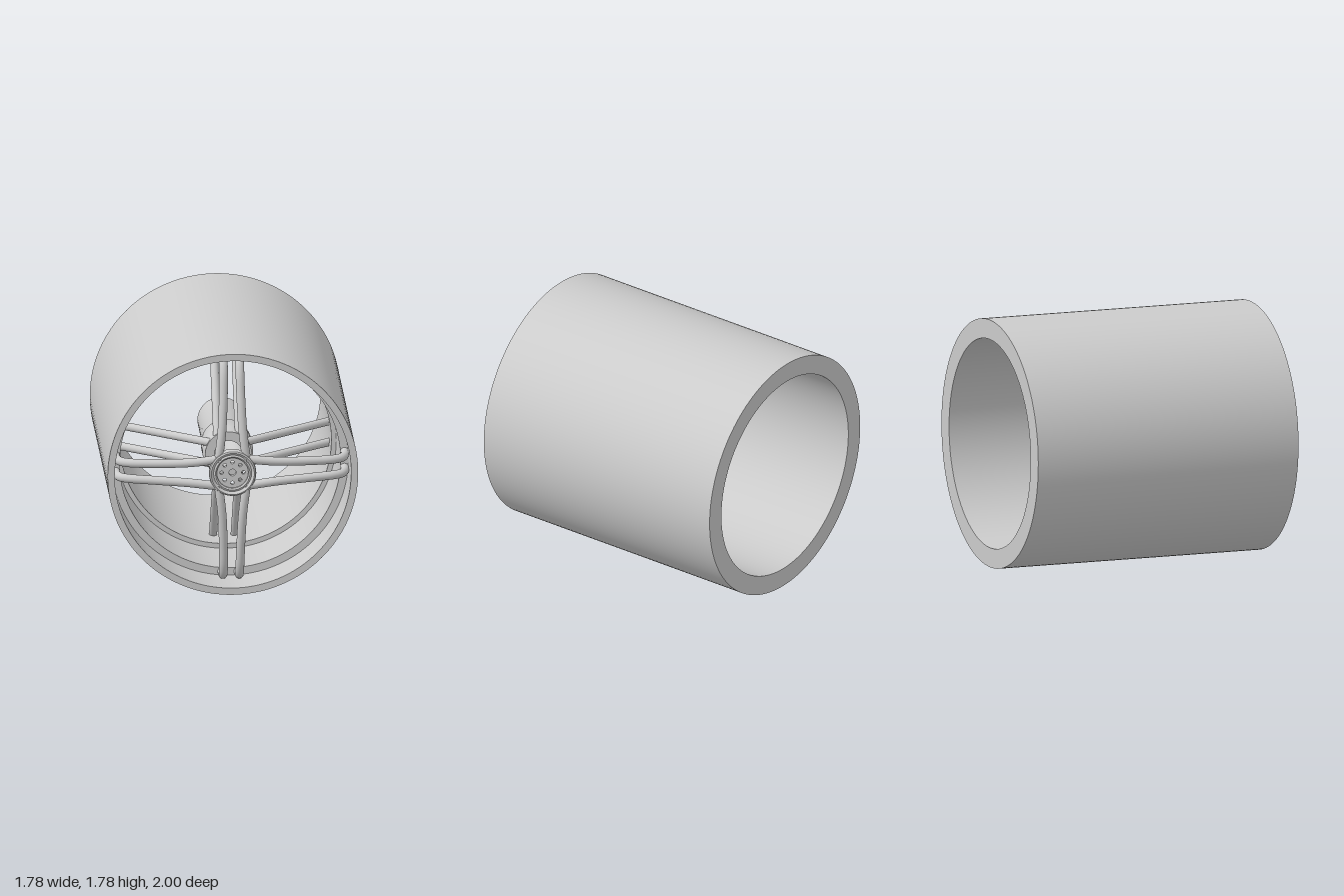
import * as THREE from 'three';
import { toCreasedNormals } from 'three/addons/utils/BufferGeometryUtils.js';

const material = new THREE.MeshStandardMaterial({ color: 0xcccccc });

// Closed [radius, z] profile turned around the z axis
function turned(name, profile, segments) {
  const points = [...profile, profile[0]].map(([r, z]) => new THREE.Vector2(r, z));
  const geometry = new THREE.LatheGeometry(points, segments).rotateX(Math.PI / 2);
  const mesh = new THREE.Mesh(toCreasedNormals(geometry, Math.PI / 6), material);
  mesh.name = name;
  return mesh;
}

// Four pairs of spokes; path points are [sideways offset, radius, z]
function spokePairs(name, path, thickness, segments) {
  const group = new THREE.Group();
  group.name = name + 's';
  for (const side of [-1, 1]) {
    const points = path.map(([x, y, z]) => new THREE.Vector3(side * x, y, z));
    const geometry = new THREE.TubeGeometry(
      new THREE.CatmullRomCurve3(points), segments, thickness, 20);
    for (let i = 0; i < 4; i++) {
      const spoke = new THREE.Mesh(geometry, material);
      spoke.name = name;
      spoke.rotation.z = i * Math.PI / 2;
      group.add(spoke);
    }
  }
  return group;
}

function circle(PathType, x, y, radius) {
  const path = new PathType();
  path.absarc(x, y, radius, 0, Math.PI * 2, false);
  return path;
}

export function createModel() {
  const model = new THREE.Group();
  model.name = 'wheel';
  const wheel = new THREE.Group();
  wheel.name = 'wheelBody';
  wheel.position.y = 0.89;
  model.add(wheel);

  // Barrel with two inner ledges
  wheel.add(turned('barrel', [
    [0.75, -1], [0.89, -1], [0.89, 1], [0.84, 1],
    [0.84, 0.68], [0.785, 0.68], [0.785, 0.2], [0.75, 0.2],
  ], 128));

  // Curved front spokes bending back onto the first ledge
  wheel.add(spokePairs('frontSpoke', [
    [0.1, 0.1, 0.945], [0.087, 0.19, 0.945], [0.073, 0.32, 0.935], [0.062, 0.55, 0.9],
    [0.058, 0.72, 0.86], [0.058, 0.785, 0.82], [0.058, 0.81, 0.75], [0.058, 0.812, 0.66],
  ], 0.031, 60));

  // Front hub ring with a rounded lip
  wheel.add(turned('frontHubRing', [
    [0.112, 0.9], [0.15, 0.9], [0.165, 0.915], [0.168, 0.94], [0.168, 0.965],
    [0.163, 0.98], [0.153, 0.987], [0.143, 0.98], [0.135, 0.968],
    [0.122, 0.975], [0.112, 0.965],
  ], 64));

  // Recessed plate with a centre hole and eight bolt holes
  const plate = circle(THREE.Shape, 0, 0, 0.115);
  plate.holes.push(circle(THREE.Path, 0, 0, 0.025));
  for (let i = 0; i < 8; i++) {
    const a = i * Math.PI / 4;
    plate.holes.push(circle(THREE.Path, 0.077 * Math.cos(a), 0.077 * Math.sin(a), 0.013));
  }
  const plateGeometry = new THREE.ExtrudeGeometry(plate,
    { depth: 0.03, bevelEnabled: false, curveSegments: 24 });
  const hubPlate = new THREE.Mesh(toCreasedNormals(plateGeometry, Math.PI / 6), material);
  hubPlate.name = 'hubPlate';
  hubPlate.position.z = 0.92;
  wheel.add(hubPlate);

  // Hollow rear hub
  wheel.add(turned('rearHub', [
    [0.1, -0.36], [0.166, -0.36], [0.166, 0.2], [0.18, 0.23],
    [0.18, 0.42], [0.166, 0.45], [0.166, 0.5], [0.1, 0.5],
  ], 64));

  // Straight rear spokes sloping back to the barrel
  wheel.add(spokePairs('rearSpoke', [[0.077, 0.12, 0.46], [0.077, 0.78, -0.04]], 0.029, 1));

  return model;
}
